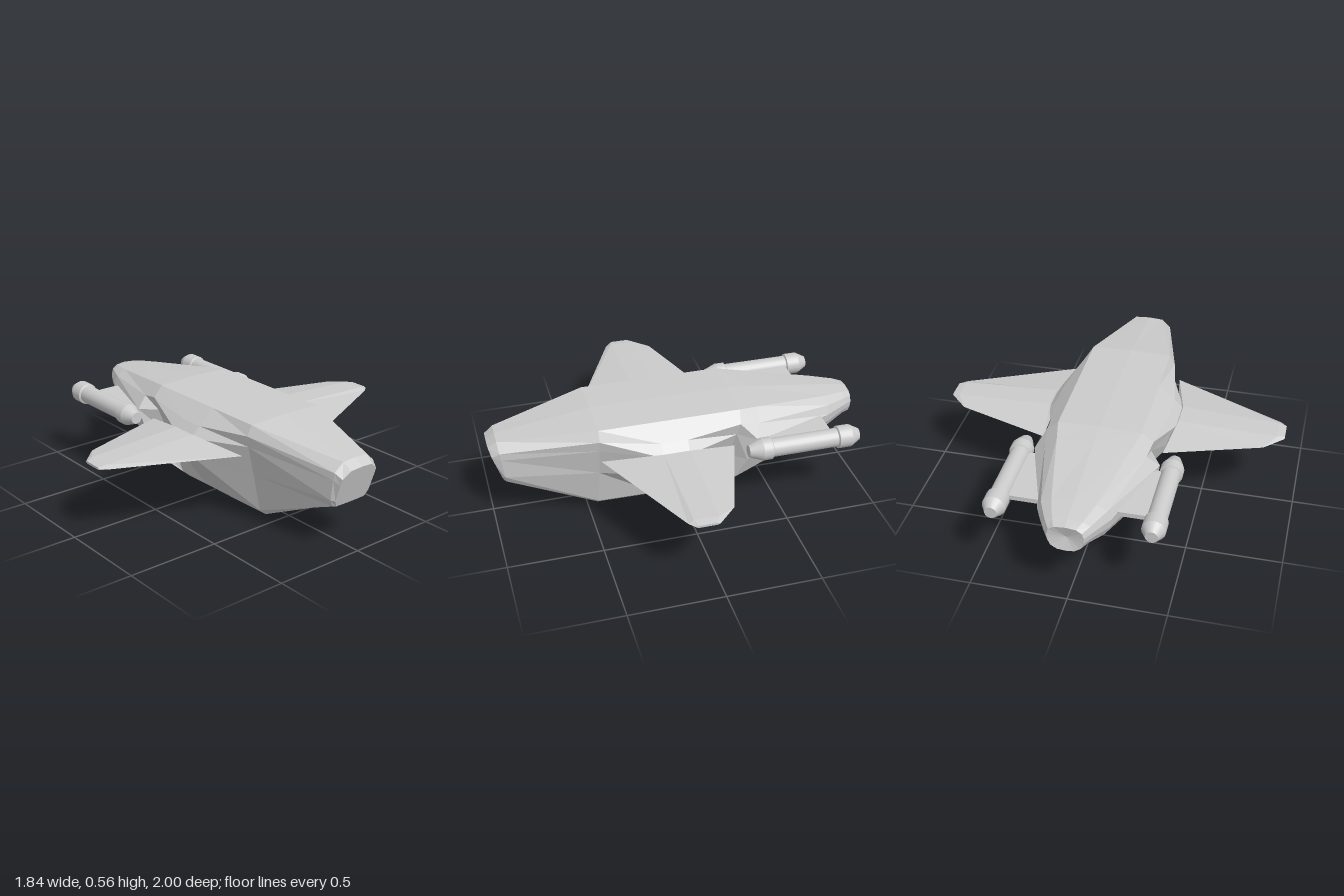
import * as THREE from 'three';

const material = new THREE.MeshStandardMaterial({ color: 0xcccccc, flatShading: true });
const smooth = new THREE.MeshStandardMaterial({ color: 0xcccccc });

// Skin a list of rings (clockwise when looking along the loft) and close both ends.
function loft(rings, endDip = 0) {
  const pos = [];
  const tri = (a, b, c) => pos.push(...a, ...b, ...c);
  const n = rings[0].length;
  const centre = (r) => [0, 1, 2].map((k) => r.reduce((s, p) => s + p[k], 0) / n);
  const first = rings[0], last = rings[rings.length - 1];
  const c0 = centre(first), c1 = centre(last);
  c1[2] += endDip;
  for (let j = 0; j < n; j++) {
    const k = (j + 1) % n;
    for (let i = 0; i < rings.length - 1; i++) {
      const a = rings[i], b = rings[i + 1];
      tri(a[j], a[k], b[k]);
      tri(a[j], b[k], b[j]);
    }
    tri(c0, first[k], first[j]);
    tri(c1, last[j], last[k]);
  }
  const g = new THREE.BufferGeometry();
  g.setAttribute('position', new THREE.Float32BufferAttribute(pos, 3));
  g.computeVertexNormals();
  return g;
}

function add(parent, name, geometry, mat = material) {
  const mesh = new THREE.Mesh(geometry, mat);
  mesh.name = name;
  parent.add(mesh);
  return mesh;
}

// Symmetric hull ring on a raked plane; side points run from deck edge down to keel edge.
function hullRing(z, rake, top, keel, side) {
  const mirrored = side.map(([x, y]) => [-x, y]).reverse();
  return [[0, top], ...side, [0, keel], ...mirrored]
    .map(([x, y]) => [x, y, z + rake * (y - .45)]);
}

// Side points: deck edge, shoulder, bulge, side, chine, keel edge
const noseSide = [[.08, .485], [.13, .44], [.132, .4], [.13, .29], [.11, .25], [.06, .248]];
const frontSide = [[.22, .553], [.25, .5], [.24, .44], [.205, .28], [.16, .065], [.12, .03]];
const wingRootSide = [[.22, .553], [.31, .475], [.36, .42], [.33, .29], [.165, .064], [.122, .027]];
const waistSide = [[.22, .553], [.28, .5], [.265, .43], [.22, .28], [.165, .06], [.125, .025]];
const stepSide = [[.195, .538], [.265, .48], [.33, .42], [.31, .29], [.27, .16], [.13, .04]];
// Tail outline as fractions of half width and height
const tailShape = [[.6, .96], [.89, .83], [1, .62], [.96, .4], [.8, .17], [.46, .03]];

const tailRing = (z, width, top, keel) => hullRing(z, 0, top, keel,
  tailShape.map(([u, v]) => [u * width, keel + v * (top - keel)]));

// The nose face is the nose ring shrunk towards its lower edge
const shrink = (y) => .247 + (y - .247) * .86;
const noseFace = noseSide.map(([x, y]) => [x * .87, shrink(y)]);

const hullRings = [
  hullRing(1, .33, shrink(.49), .247, noseFace),
  hullRing(.95, .13, .49, .246, noseSide),
  hullRing(.45, 0, .56, .02, frontSide),
  hullRing(.14, 0, .56, .014, wingRootSide),
  hullRing(0, 0, .56, .01, wingRootSide),
  hullRing(-.285, -.22, .56, .004, waistSide),
  hullRing(-.39, -.38, .546, .022, stepSide),
  tailRing(-.83, .185, .493, .268),
  tailRing(-.95, .125, .475, .32),
  tailRing(-1, .092, .463, .32),
];

// Wing ring: trailing edge, upper ridge, leading edge, lower ridge
function wingRing(xLead, xRidge, xTrail, zTrail, zBack, zFront, zLead, thickness) {
  const y = .402;
  return [
    [xTrail, y, zTrail], [xRidge, y + thickness, zBack], [xRidge, y + thickness, zFront],
    [xLead, y, zLead], [xRidge, y - thickness, zFront], [xRidge, y - thickness, zBack],
  ];
}
const wingRings = [
  wingRing(.28, .355, .32, -.25, 0, .14, .45, .037),
  wingRing(.885, .88, .82, -.085, .01, .135, .165, .013),
  wingRing(.92, .92, .92, .015, .03, .125, .135, .006),
];
const mirrorRing = (ring) => ring.map(([x, y, z]) => [-x, y, z]).reverse();

// Engine pod profile: radius, distance along the axis
const podProfile = [[0, -.305], [.032, -.305], [.06, -.255], [.06, -.185], [.05, -.18],
  [.05, .18], [.06, .185], [.06, .235], [.032, .305], [0, .305]]
  .map(([r, t]) => new THREE.Vector2(r, t));

export function createModel() {
  const model = new THREE.Group();
  model.name = 'spacecraft';

  // Hull with a slightly hollowed tail
  add(model, 'hull', loft(hullRings, .02));

  for (const side of [1, -1]) {
    const label = side > 0 ? 'left' : 'right';

    add(model, label + 'Wing', loft(side > 0 ? wingRings : wingRings.map(mirrorRing)));

    // Separate bands keep the pod's edges sharp
    const pod = new THREE.Group();
    pod.name = label + 'EnginePod';
    pod.position.set(side * .395, .405, -.607);
    pod.rotation.x = Math.PI / 2;
    for (let i = 1; i < podProfile.length; i++) {
      add(pod, 'podBand', new THREE.LatheGeometry(podProfile.slice(i - 1, i + 1), 20), smooth);
    }
    model.add(pod);

    const pylon = add(model, label + 'Pylon', new THREE.BoxGeometry(.2, .025, .36));
    pylon.position.set(side * .26, .405, -.6);
  }
  return model;
}
